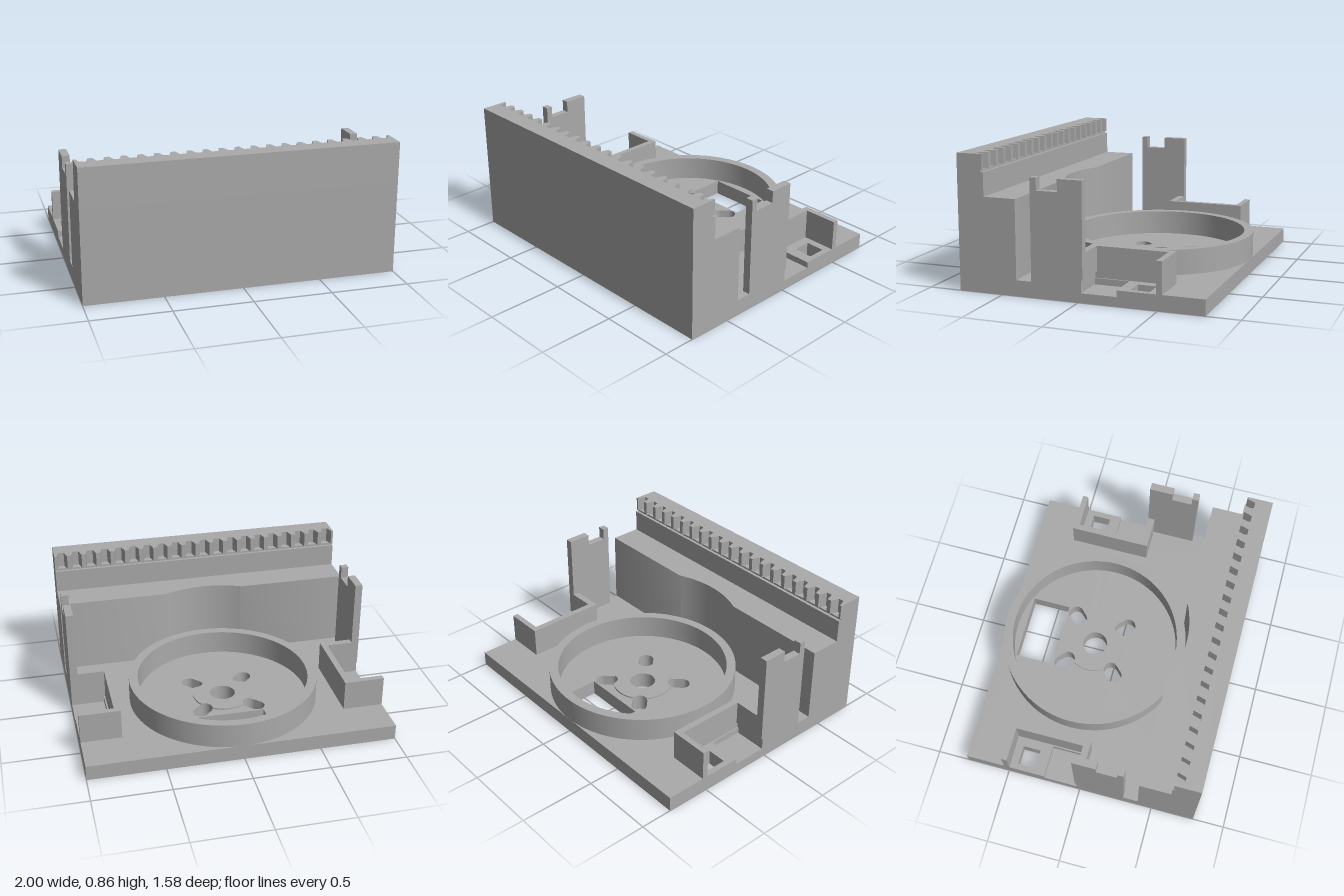
import * as THREE from 'three';
import { toCreasedNormals } from 'three/addons/utils/BufferGeometryUtils.js';

const CZ = -0.165; // centre of the turntable ring

export function createModel() {
  const model = new THREE.Group();
  model.name = 'mountingBase';
  const grey = new THREE.MeshStandardMaterial({ color: 0xaaaaaa });
  grey.name = 'plasticGrey';

  const add = (name, geo) => {
    const mesh = new THREE.Mesh(toCreasedNormals(geo, 0.5), grey);
    mesh.name = name;
    model.add(mesh);
  };
  const extrude = (shape, depth) =>
    new THREE.ExtrudeGeometry(shape, { depth, bevelEnabled: false, curveSegments: 48 });
  // plan shape (x, -z) raised from y0 to y1
  const prism = (name, shape, y0, y1) =>
    add(name, extrude(shape, y1 - y0).rotateX(-Math.PI / 2).translate(0, y0, 0));
  // side profile (z, y) running from x0 to x1
  const sideways = (name, shape, x0, x1) =>
    add(name, extrude(shape, x1 - x0).rotateY(-Math.PI / 2).translate(x1, 0, 0));
  const box = (name, x0, x1, y0, y1, z0, z1) =>
    add(name, new THREE.BoxGeometry(x1 - x0, y1 - y0, z1 - z0)
      .translate((x0 + x1) / 2, (y0 + y1) / 2, (z0 + z1) / 2));

  // outlines given as [x, z] for plan shapes
  const plan = (pts) => new THREE.Shape(pts.map(([x, z]) => new THREE.Vector2(x, -z)));
  const profile = (pts) => new THREE.Shape(pts.map(([z, y]) => new THREE.Vector2(z, y)));
  const rect = (x0, x1, z0, z1) => plan([[x0, z0], [x0, z1], [x1, z1], [x1, z0]]);
  const circle = (r) => new THREE.Shape().absarc(0, -CZ, r, 0, Math.PI * 2, false);

  // radial screw slot with round ends
  const SLOT_R = 0.05, SLOT_D = 0.024, SLOT_C = 0.245;
  const screwSlot = (a) => {
    const p = new THREE.Path();
    const at = (r) => [r * Math.cos(a), -CZ + r * Math.sin(a)];
    p.absarc(...at(SLOT_C + SLOT_D), SLOT_R, a - Math.PI / 2, a + Math.PI / 2, false);
    p.absarc(...at(SLOT_C - SLOT_D), SLOT_R, a + Math.PI / 2, a + Math.PI * 1.5, false);
    p.closePath();
    return p;
  };
  // narrow slot tangent to the ring, under the front wall
  const tieSlot = (s) => {
    const a = s * 0.195, r = 0.67;
    const at = (u, v) => [
      (r + v) * Math.sin(a) + u * Math.cos(a),
      CZ + (r + v) * Math.cos(a) - u * Math.sin(a)];
    return plan([at(-0.065, -0.018), at(0.065, -0.018), at(0.065, 0.018), at(-0.065, 0.018)]);
  };

  // base plate in two layers, the upper one notched by the side pockets
  const drill = (shape) => {
    shape.holes.push(circle(0.083), rect(-0.22, 0.22, -0.675, -0.415));
    for (let i = 0; i < 4; i++) shape.holes.push(screwSlot(Math.PI / 4 + i * Math.PI / 2));
    for (const s of [-1, 1]) {
      shape.holes.push(s > 0 ? rect(0.835, 0.962, -0.44, -0.318) : rect(-0.962, -0.835, -0.44, -0.318));
      shape.holes.push(tieSlot(s));
    }
    return shape;
  };
  prism('lowerPlate', drill(rect(-1, 1, -0.79, 0.79)), 0, 0.06);
  prism('upperPlate', drill(plan([
    [-1, 0.79], [1, 0.79], [1, -0.02], [0.785, -0.02], [0.785, -0.245], [1, -0.245],
    [1, -0.79], [-1, -0.79], [-1, -0.245], [-0.785, -0.245], [-0.785, -0.02], [-1, -0.02],
  ])), 0.06, 0.1);

  // raised ring
  const ring = circle(0.625);
  ring.holes.push(circle(0.565));
  prism('ring', ring, 0.1, 0.26);

  // thin hub pad, bitten by the four screw slots
  const pad = [];
  for (let i = 0; i < 160; i++) {
    const t = (i / 160) * Math.PI * 2;
    const off = (t % (Math.PI / 2)) - Math.PI / 4;
    const c = SLOT_C - SLOT_D;
    const q = SLOT_R ** 2 - (c * Math.sin(off)) ** 2;
    const r = q > 0 ? Math.min(0.2, c * Math.cos(off) - Math.sqrt(q)) : 0.2;
    pad.push([r * Math.cos(t), CZ - r * Math.sin(t)]);
  }
  const hub = plan(pad);
  hub.holes.push(circle(0.083));
  prism('hubPad', hub, 0.1, 0.11);

  // front wall with a round relief for the ring
  const R = 0.63, a = Math.asin((0.405 - CZ) / R);
  const wall = new THREE.Shape();
  wall.moveTo(-1, -0.79);
  wall.lineTo(1, -0.79);
  wall.lineTo(1, -0.405);
  wall.absarc(0, -CZ, R, -a, -Math.PI + a, true);
  wall.lineTo(-1, -0.405);
  wall.closePath();
  prism('frontWall', wall, 0.1, 0.6);
  box('wallUpperStep', -1, 1, 0.6, 0.75, 0.613, 0.79);
  box('wallSlitLayer', -1, 1, 0.75, 0.762, 0.633, 0.79);

  // toothed rack along the top of the wall
  const rack = [[-1, 0.79], [1, 0.79], [1, 0.62]];
  for (let i = 19; i >= 0; i--) {
    const x = -0.95 + i * 0.1;
    rack.push([x + 0.036, 0.62], [x + 0.019, 0.677], [x - 0.019, 0.677], [x - 0.036, 0.62]);
  }
  rack.push([-1, 0.62]);
  prism('toothedRack', plan(rack), 0.762, 0.86);

  // side brackets and notched posts, mirrored
  for (const s of [-1, 1]) {
    const side = s > 0 ? 'left' : 'right';
    const span = (x0, x1) => (s > 0 ? [x0, x1] : [-x1, -x0]);
    box(side + 'BracketInnerWall', ...span(0.735, 0.775), 0.1, 0.3, -0.528, 0.015);
    box(side + 'BracketBackWall', ...span(0.775, 1), 0.1, 0.3, -0.528, -0.49);
    sideways(side + 'BracketFrontWall', profile([
      [-0.02, 0.1], [0.015, 0.1], [0.015, 0.3], [-0.03, 0.3], [-0.03, 0.14], [-0.02, 0.14],
    ]), ...span(0.775, 0.95));
    sideways(side + 'Post', profile([
      [-0.02, 0.1], [0.305, 0.1], [0.305, 0.738], [0.263, 0.738], [0.263, 0.66], [0.127, 0.66],
      [0.127, 0.738], [-0.03, 0.738], [-0.03, 0.14], [-0.02, 0.14],
    ]), ...span(0.95, 1));
  }
  return model;
}
